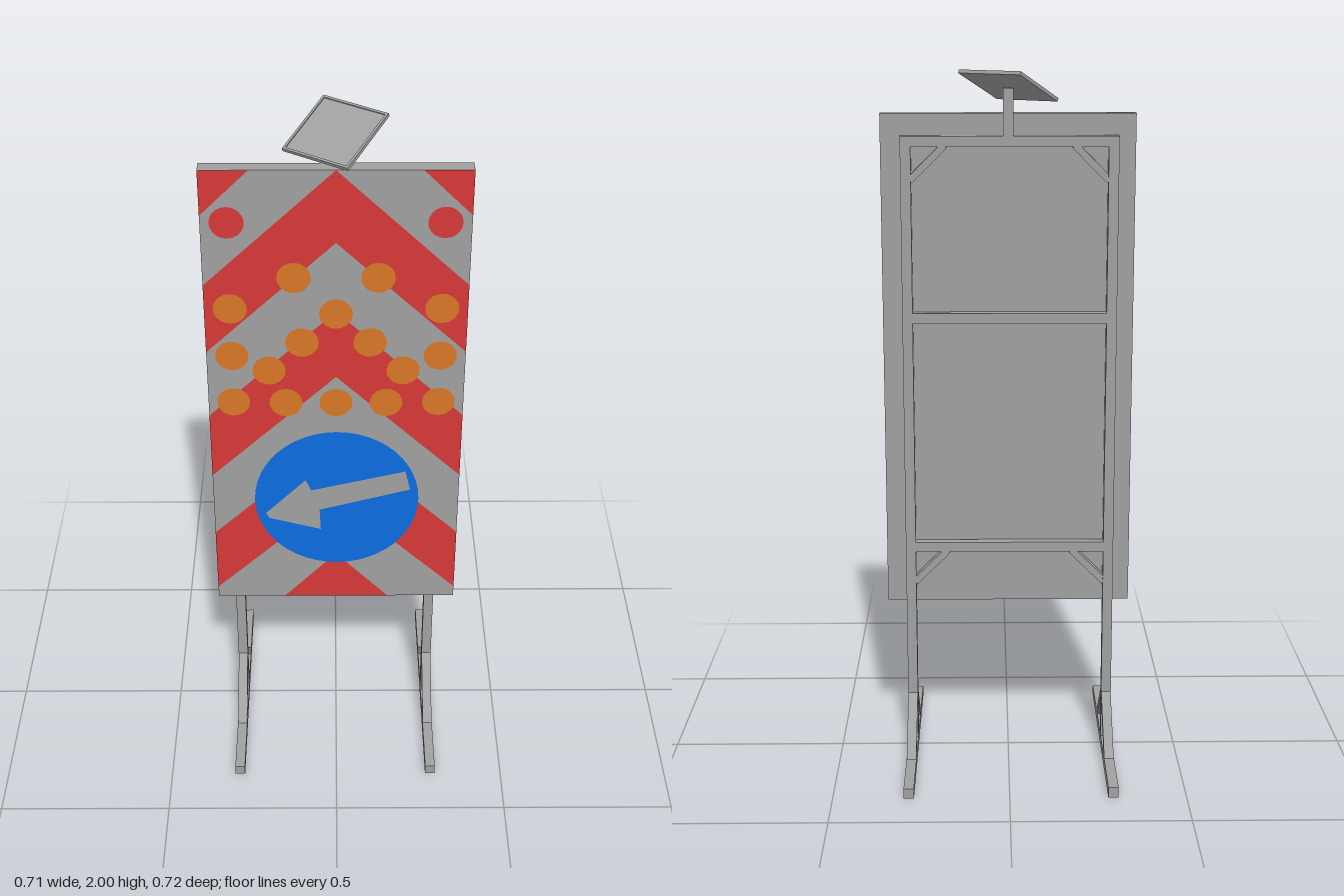
import * as THREE from 'three';

const GREY = new THREE.MeshStandardMaterial({ color: 0xa0a0a0 });
const RED = new THREE.MeshStandardMaterial({ color: 0xd63838 });
const ORANGE = new THREE.MeshStandardMaterial({ color: 0xd97628 });
const BLUE = new THREE.MeshStandardMaterial({ color: 0x0d6ce0 });
GREY.name = 'grey metal';
RED.name = 'warning red';
ORANGE.name = 'lamp orange';
BLUE.name = 'sign blue';

const BAR = 0.029;               // square tube width
const POSTS = [-0.293, 0.285];   // post centres in x
const MID_X = -0.004;
const FRAME_TOP = 1.82;
const FACE = 0.06;               // z of the board front
const W = 0.356, BOTTOM = 0.455, TOP = 1.88;

function add(parent, name, geometry, material, x = 0, y = 0, z = 0) {
  const mesh = new THREE.Mesh(geometry, material);
  mesh.name = name;
  mesh.position.set(x, y, z);
  parent.add(mesh);
  return mesh;
}

function box(parent, name, w, h, d, x, y, z) {
  return add(parent, name, new THREE.BoxGeometry(w, h, d), GREY, x, y, z);
}

const shapeOf = (points) => new THREE.Shape(points.map(([x, y]) => new THREE.Vector2(x, y)));

// Flat painted area, one thin layer above another
function paint(parent, name, points, material, layer) {
  add(parent, name, new THREE.ShapeGeometry(shapeOf(points)), material, 0, 0, FACE + layer * 0.0008);
}

function buildStand() {
  const stand = new THREE.Group();
  stand.name = 'stand';
  // Strut outline in the z-y plane
  const strut = shapeOf([[0.175, 0.03], [0.0, 0.187], [0.0, 0.158], [0.143, 0.03]]);
  for (const x of POSTS) {
    box(stand, 'post', BAR, FRAME_TOP - 0.03, BAR, x, (FRAME_TOP + 0.03) / 2, -0.0015);
    box(stand, 'foot', BAR, 0.03, 0.72, x, 0.015, 0);
    for (const side of [-1, 1]) {
      const geometry = new THREE.ExtrudeGeometry(strut, { depth: BAR - 0.001, bevelEnabled: false });
      geometry.translate(0, 0, -(BAR - 0.001) / 2);
      geometry.rotateY(-side * Math.PI / 2);
      add(stand, 'footStrut', geometry, GREY, x, 0, 0);
    }
  }
  // Crossbars between the posts
  const span = POSTS[1] - POSTS[0] - BAR;
  const bars = [FRAME_TOP - BAR / 2, 1.31, 0.63];
  for (const y of bars) box(stand, 'crossbar', span, BAR, BAR, MID_X, y, -0.0015);
  // Diagonal corner braces below the top and bottom crossbars
  for (const y of [bars[0], bars[2]]) {
    for (const side of [-1, 1]) {
      const brace = box(stand, 'cornerBrace', 0.135, 0.02, BAR - 0.002,
        MID_X + side * (span / 2 - 0.045), y - BAR / 2 - 0.045, -0.0015);
      brace.rotation.z = -side * Math.PI / 4;
    }
  }
  return stand;
}

function buildSign() {
  const sign = new THREE.Group();
  sign.name = 'sign';
  box(sign, 'board', 2 * W, TOP - BOTTOM, FACE - 0.018, 0, (TOP + BOTTOM) / 2, (FACE + 0.018) / 2);

  // Red chevrons
  const drop = 0.95 * W, pitch = 0.42, width = 0.21;
  for (let i = 0; i < 3; i++) {
    const y = TOP - i * pitch;
    paint(sign, 'chevron', [[0, y], [-W, y - drop], [-W, y - drop - width],
      [0, y - width], [W, y - drop - width], [W, y - drop]], RED, 1);
  }
  for (const s of [-1, 1]) {
    paint(sign, 'cornerStripe', [[s * W, TOP], [s * 0.225, TOP], [s * W, TOP - 0.13]], RED, 1);
  }
  paint(sign, 'bottomStripe', [[-0.156, BOTTOM], [0.156, BOTTOM], [0, 0.62]], RED, 1);

  // Warning lamps, mirrored about the middle
  const lamp = (x, y, material) => {
    for (const s of x ? [-1, 1] : [1]) {
      add(sign, 'lamp', new THREE.CircleGeometry(0.046, 20), material, s * x, y, FACE + 0.0016);
    }
  };
  lamp(0.286, 1.73, RED);
  for (const [x, y] of [[0.113, 1.565], [0.286, 1.47], [0, 1.453], [0.093, 1.363], [0.286, 1.32],
    [0.185, 1.272], [0.286, 1.168], [0.14, 1.165], [0, 1.165]]) lamp(x, y, ORANGE);

  // Blue disc with the direction arrow
  add(sign, 'blueDisc', new THREE.CircleGeometry(0.238, 48), BLUE, 0.002, 0.826, FACE + 0.0016);
  paint(sign, 'arrow', [[-0.205, 0.775], [-0.088, 0.895], [-0.072, 0.858], [0.2, 0.925],
    [0.215, 0.86], [-0.048, 0.787], [-0.045, 0.715], [-0.195, 0.757]], GREY, 3);
  return sign;
}

function buildSolarPanel() {
  const panel = new THREE.Group();
  panel.name = 'solarPanel';
  const size = 0.203, rim = 0.007;
  box(panel, 'panelPlate', size, 0.007, size, 0, -0.0015, 0);
  // Raised rim around the plate
  for (const s of [-1, 1]) {
    const edge = s * (size - rim) / 2;
    box(panel, 'panelRim', size, 0.003, rim, 0, 0.0035, edge);
    box(panel, 'panelRim', rim, 0.003, size - 2 * rim, edge, 0.0035, 0);
  }
  panel.rotation.set(0.4, -0.607, 0, 'YXZ');
  panel.position.set(-0.001, 1.956, -0.002);
  return panel;
}

export function createModel() {
  const model = new THREE.Group();
  model.name = 'roadWarningSign';
  model.add(buildStand(), buildSign(), buildSolarPanel());
  box(model, 'panelMast', BAR, 0.13, BAR, 0, FRAME_TOP + 0.065, -0.0015);
  return model;
}
